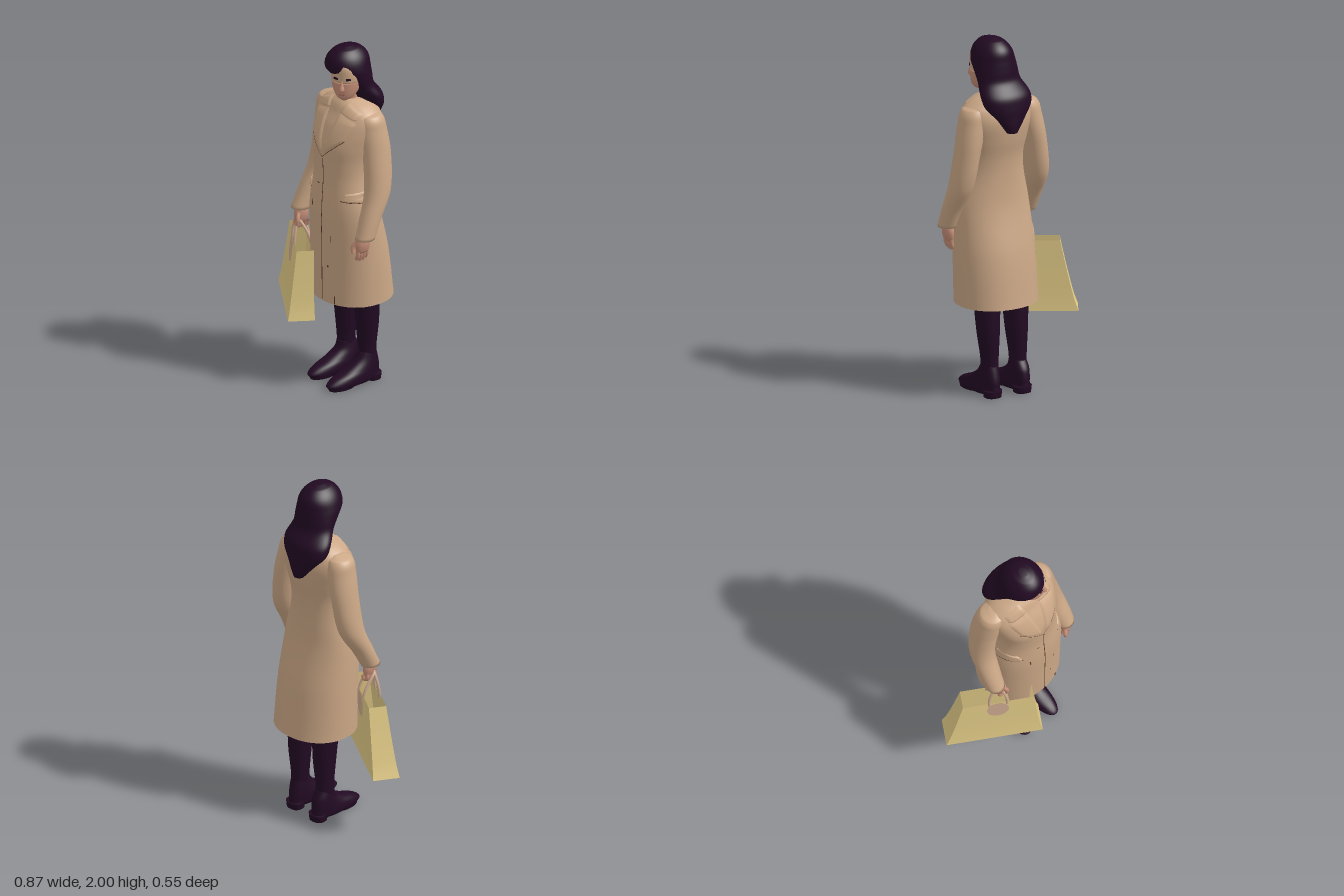
import * as THREE from 'three';

const mat = (name, color, side = THREE.DoubleSide) => {
  const m = new THREE.MeshStandardMaterial({ color, side });
  m.name = name;
  return m;
};

// Smoothly resample rings [y, cx, cz, rx, rz] from bottom to top
function resample(rings, steps = 6) {
  const r = [...rings].sort((a, b) => a[0] - b[0]);
  const slope = (i, k) => {
    const a = r[Math.max(i - 1, 0)], b = r[Math.min(i + 1, r.length - 1)];
    return (b[k] - a[k]) / (b[0] - a[0]);
  };
  const out = [];
  for (let i = 0; i < r.length - 1; i++) {
    const h = r[i + 1][0] - r[i][0];
    for (let s = 0; s < steps; s++) {
      const t = s / steps, t2 = t * t, t3 = t2 * t;
      const ring = [r[i][0] + h * t];
      for (let k = 1; k < 5; k++) {
        const v = (2 * t3 - 3 * t2 + 1) * r[i][k] + (t3 - 2 * t2 + t) * h * slope(i, k)
          + (3 * t2 - 2 * t3) * r[i + 1][k] + (t3 - t2) * h * slope(i + 1, k);
        ring.push(k > 2 ? Math.max(v, 0.002) : v);
      }
      out.push(ring);
    }
  }
  out.push(r[r.length - 1]);
  return out;
}

// Skin over stacked superellipse rings
function loft(rings, { power = 2, bottom = true, sides = 36 } = {}) {
  const rs = resample(rings), pos = [], idx = [];
  const p = (v) => Math.sign(v) * Math.abs(v) ** (2 / power);
  for (const [y, cx, cz, rx, rz] of rs) {
    for (let j = 0; j < sides; j++) {
      const a = (j / sides) * Math.PI * 2;
      pos.push(cx + rx * p(Math.cos(a)), y, cz + rz * p(Math.sin(a)));
    }
  }
  const last = (rs.length - 1) * sides, c0 = rs.length * sides;
  const e = rs[rs.length - 1];
  pos.push(rs[0][1], rs[0][0], rs[0][2], e[1], e[0], e[2]);
  for (let j = 0; j < sides; j++) {
    const n = (j + 1) % sides;
    for (let o = 0; o < last; o += sides) {
      idx.push(o + j, o + sides + j, o + n, o + n, o + sides + j, o + sides + n);
    }
    if (bottom) idx.push(c0, j, n);
    idx.push(c0 + 1, last + n, last + j);
  }
  return build(pos, idx);
}

function build(pos, idx) {
  const g = new THREE.BufferGeometry();
  g.setAttribute('position', new THREE.Float32BufferAttribute(pos, 3));
  g.setIndex(idx);
  g.computeVertexNormals();
  return g;
}

const COAT = [
  [0.52, 0.13, -0.068, 0.232, 0.208], [0.8, 0.13, -0.047, 0.231, 0.189], [1.0, 0.13, -0.022, 0.224, 0.167],
  [1.1, 0.13, -0.015, 0.213, 0.157], [1.25, 0.127, -0.016, 0.18, 0.149], [1.35, 0.127, -0.018, 0.177, 0.153],
  [1.45, 0.125, -0.028, 0.195, 0.162], [1.55, 0.125, -0.05, 0.212, 0.15], [1.62, 0.125, -0.062, 0.203, 0.122],
  [1.665, 0.125, -0.062, 0.145, 0.1], [1.695, 0.125, -0.062, 0.075, 0.075],
];
const COAT_POWER = 2.15;
const coatRings = resample(COAT);

// Depth of the coat's front at (x, y)
function coatFront(x, y) {
  let i = coatRings.findIndex((r) => r[0] >= y);
  i = i < 0 ? coatRings.length - 1 : Math.max(i, 1);
  const a = coatRings[i - 1], b = coatRings[i];
  const t = Math.min(1, (y - a[0]) / (b[0] - a[0]));
  const [, cx, cz, rx, rz] = a.map((v, k) => v + (b[k] - v) * t);
  const d = Math.min(1, Math.abs((x - cx) / rx));
  return cz + rz * (1 - d ** COAT_POWER) ** (1 / COAT_POWER);
}

// Four-cornered cloth panel that follows the coat's front, edges tucked in
function patch([a, b, c, d], off, n = 10) {
  const pos = [], idx = [];
  for (let i = 0; i <= n; i++) {
    for (let j = 0; j <= n; j++) {
      const u = i / n, v = j / n;
      const q = (k) => (a[k] * (1 - u) + b[k] * u) * (1 - v) + (d[k] * (1 - u) + c[k] * u) * v;
      const edge = off > 0.006 && (i % n === 0 || j % n === 0);
      pos.push(q(0), q(1), coatFront(q(0), q(1)) + (edge ? -0.002 : off));
      if (i < n && j < n) {
        const o = i * (n + 1) + j;
        idx.push(o, o + 1, o + n + 1, o + 1, o + n + 2, o + n + 1);
      }
    }
  }
  return build(pos, idx);
}
const rect = (x, y, w, h) => [[x - w / 2, y - h / 2], [x + w / 2, y - h / 2], [x + w / 2, y + h / 2], [x - w / 2, y + h / 2]];

export function createModel() {
  const root = new THREE.Group();
  const tan = mat('coatTan', 0xcba786), skin = mat('skin', 0xc68f78), plum = mat('darkPlum', 0x220a23);
  const straw = mat('bagStraw', 0xe3cc88), strap = mat('strapPink', 0xcfab92), seam = mat('seamBrown', 0x5a3a2c);
  const lip = mat('lips', 0xa96a58);
  const add = (name, geo, m, parent = root) => {
    const mesh = new THREE.Mesh(geo, m);
    mesh.name = name;
    parent.add(mesh);
    return mesh;
  };
  const tube = (pts, r) => new THREE.TubeGeometry(
    new THREE.CatmullRomCurve3(pts.map((p) => new THREE.Vector3(...p))), 16, r, 8);

  // Coat body, lapels, collar and pocket flaps
  add('coat', loft(COAT, { power: COAT_POWER, bottom: false, sides: 48 }), tan);
  for (const flip of [false, true]) {
    const m = (pts) => pts.map(([x, y]) => [flip ? 0.26 - x : x, y]);
    add('lapel', patch(m([[0.13, 1.38], [0.085, 1.635], [-0.035, 1.6], [0.0, 1.5]]), 0.008), tan);
    add('collar', patch(m([[0.07, 1.692], [-0.03, 1.645], [-0.025, 1.61], [0.088, 1.635]]), 0.009), tan);
    add('pocketFlap', patch(m([[-0.078, 1.14], [0.005, 1.15], [-0.012, 1.19], [-0.068, 1.2]]), 0.01), tan);
    add('pocketEdge', patch(m([[-0.078, 1.137], [0.006, 1.146], [0.005, 1.15], [-0.078, 1.141]]), 0.004), seam);
    add('lapelEdge', patch(m([[0.13, 1.376], [0.13, 1.38], [0, 1.5], [-0.002, 1.497]]), 0.004), seam);
  }
  add('frontSeam', patch(rect(0.135, 0.95, 0.005, 0.84), 0.003, 24), seam);
  for (const [x, y, w, h] of [[0.04, 1.07, 0.008, 0.04], [0.18, 0.74, 0.012, 0.012], [0.095, 1.21, 0.018, 0.007],
    [0.205, 0.91, 0.004, 0.04], [0.225, 0.55, 0.008, 0.045]]) {
    add('coatMark', patch(rect(x, y, w, h), 0.003), seam);
  }

  // Sleeves and hands
  const AX = 0.111;
  for (const s of [1, -1]) {
    const X = (x) => AX + s * (x - AX), dz = s > 0 ? 0 : 0.025;
    add(s > 0 ? 'leftSleeve' : 'rightSleeve', loft([
      [1.648, 0.26, -0.07, 0.02, 0.03], [1.625, 0.275, -0.07, 0.066, 0.07], [1.55, 0.292, -0.075, 0.074, 0.083],
      [1.4, 0.325, -0.082, 0.068, 0.083], [1.2, 0.355, -0.063, 0.066, 0.076], [1.05, 0.37, 0.0 + dz / 2, 0.058, 0.06],
      [0.95, 0.376, 0.038 + dz, 0.051, 0.056],
    ].map((r) => [r[0], X(r[1]), ...r.slice(2)])), tan);
    const hand = new THREE.Group();
    hand.name = s > 0 ? 'leftHand' : 'rightHand';
    hand.position.set(X(0.364), 0, 0.045 + dz);
    root.add(hand);
    add('palm', loft([[0.97, 0, 0, 0.027, 0.03], [0.92, 0, 0, 0.03, 0.044], [0.88, 0, 0, 0.021, 0.04], [0.865, 0, 0, 0.01, 0.03]],
      { sides: 16 }), skin, hand);
    for (let f = 0; f < 4; f++) {
      const z = -0.028 + f * 0.019, tip = 0.815 + Math.abs(f - 1.5) * 0.008;
      add('finger', tube(s > 0
        ? [[0, 0.89, z], [-0.004, 0.85, z], [-0.016, tip, z]]
        : [[-0.008, 0.89, z], [-0.01, 0.862, z], [0.012, 0.852, z], [0.022, 0.875, z]], 0.0115), skin, hand);
    }
    add('thumb', tube([[-s * 0.015, 0.93, 0.03], [-s * 0.028, 0.9, 0.045], [-s * 0.026, 0.865, 0.045]], 0.011), skin, hand);
  }

  // Legs and shoes
  for (const [side, cx, dz] of [['left', 0.205, 0], ['right', 0.022, -0.015]]) {
    add(side + 'Leg', loft([[0.75, cx, -0.09, 0.08, 0.08], [0.5, cx + 0.004, -0.1, 0.07, 0.074],
      [0.36, cx + 0.003, -0.108, 0.062, 0.066], [0.2, cx - 0.003, -0.112, 0.047, 0.053], [0.08, cx - 0.003, -0.115, 0.046, 0.05]]), plum);
    add(side + 'Shoe', loft([[0.012, cx, -0.005 + dz, 0.05, 0.155], [0.03, cx - 0.003, -0.012 + dz, 0.06, 0.172],
      [0.06, cx - 0.003, -0.033 + dz, 0.06, 0.152], [0.09, cx - 0.003, -0.07 + dz, 0.056, 0.113],
      [0.13, cx - 0.003, -0.1 + dz, 0.05, 0.075], [0.18, cx - 0.003, -0.112, 0.043, 0.05]], { power: 2.2 }), plum);
    add(side + 'Heel', loft([[0, cx, -0.145 + dz, 0.046, 0.042], [0.04, cx, -0.145 + dz, 0.05, 0.046]], { power: 2.6 }), plum);
    add(side + 'Sole', loft([[0, cx, 0.06 + dz, 0.045, 0.085], [0.03, cx, 0.06 + dz, 0.052, 0.09]]), plum);
  }

  // Long wavy hair falling behind the shoulders
  add('hair', loft([[2.0, 0.135, -0.03, 0.02, 0.025], [1.985, 0.134, -0.03, 0.06, 0.075], [1.94, 0.132, -0.032, 0.1, 0.118],
    [1.88, 0.13, -0.036, 0.12, 0.126], [1.83, 0.128, -0.06, 0.124, 0.108], [1.77, 0.125, -0.09, 0.127, 0.086],
    [1.7, 0.118, -0.14, 0.15, 0.086], [1.64, 0.115, -0.163, 0.14, 0.074], [1.58, 0.115, -0.187, 0.09, 0.053],
    [1.54, 0.118, -0.198, 0.06, 0.043], [1.5, 0.12, -0.208, 0.03, 0.028]]), plum);

  // Neck and head, turned towards the left
  add('neck', loft([[1.62, 0.13, -0.05, 0.055, 0.05], [1.69, 0.133, -0.042, 0.05, 0.05], [1.78, 0.14, -0.035, 0.052, 0.05]]), skin);
  const head = new THREE.Group();
  head.name = 'head';
  head.position.set(0.13, 0, -0.05);
  head.rotation.y = 0.58;
  root.add(head);
  add('face', loft([[1.708, 0, 0.085, 0.02, 0.024], [1.728, 0, 0.074, 0.049, 0.052], [1.77, 0, 0.058, 0.073, 0.076],
    [1.82, 0, 0.054, 0.082, 0.081]]), skin, head);
  add('forehead', loft([[1.82, 0, 0.054, 0.082, 0.081], [1.86, 0, 0.054, 0.083, 0.083], [1.905, 0, 0.055, 0.068, 0.081],
    [1.95, 0, 0.055, 0.014, 0.064]]), tan, head);
  add('nose', loft([[1.768, 0, 0.128, 0.008, 0.008], [1.78, 0, 0.133, 0.015, 0.02], [1.81, 0, 0.13, 0.01, 0.015],
    [1.84, 0, 0.126, 0.007, 0.009]], { sides: 14 }), skin, head);
  add('mouth', new THREE.BoxGeometry(0.032, 0.009, 0.009), lip, head).position.set(0, 1.75, 0.127);
  for (const s of [-1, 1]) {
    const eye = add('eye', new THREE.BoxGeometry(0.026, 0.011, 0.009), plum, head);
    eye.position.set(s * 0.035, 1.844, 0.128);
    eye.rotation.y = s * 0.4;
  }

  // Open carrier bag, flaring to its base
  const bag = new THREE.Group();
  bag.name = 'bag';
  bag.position.set(-0.18, 0.38, 0.07);
  bag.rotation.y = -0.567;
  root.add(bag);
  const wall = (t) => ({ w: 0.264 - 0.069 * t ** 0.75, d: 0.074 - 0.026 * t ** 0.7, x: 0.03 * t, z: -0.025 * t });
  const box = new THREE.BoxGeometry(2, 1, 2, 1, 8, 1), P = box.attributes.position;
  for (let i = 0; i < P.count; i++) {
    const t = P.getY(i) + 0.5, k = wall(t);
    P.setXYZ(i, k.x + P.getX(i) * k.w, t * 0.4, k.z + P.getZ(i) * k.d);
  }
  box.computeVertexNormals();
  box.groups.splice(2, 1); // leave the top open
  add('bagBody', box, Array(6).fill(straw), bag);

  // Handles with oval patches on both faces
  for (const s of [1, -1]) {
    const k = wall(1), z = k.z + s * k.d;
    add('bagHandle', tube([[-0.02, 0.37, z], [-0.018, 0.44, z * 0.7], [0.01, 0.515, 0], [0.045, 0.52, 0],
      [0.075, 0.44, z * 0.7], [0.078, 0.37, z]], 0.008), strap, bag);
    const oval = new THREE.CircleGeometry(1, 28), Q = oval.attributes.position;
    for (let i = 0; i < Q.count; i++) {
      const y = 0.325 + Q.getY(i) * 0.073, w = wall(y / 0.4);
      Q.setXYZ(i, 0.025 + s * Q.getX(i) * 0.06, y, w.z + s * (w.d + 0.004));
    }
    oval.computeVertexNormals();
    add('handlePatch', oval, strap, bag);
  }
  return root;
}
